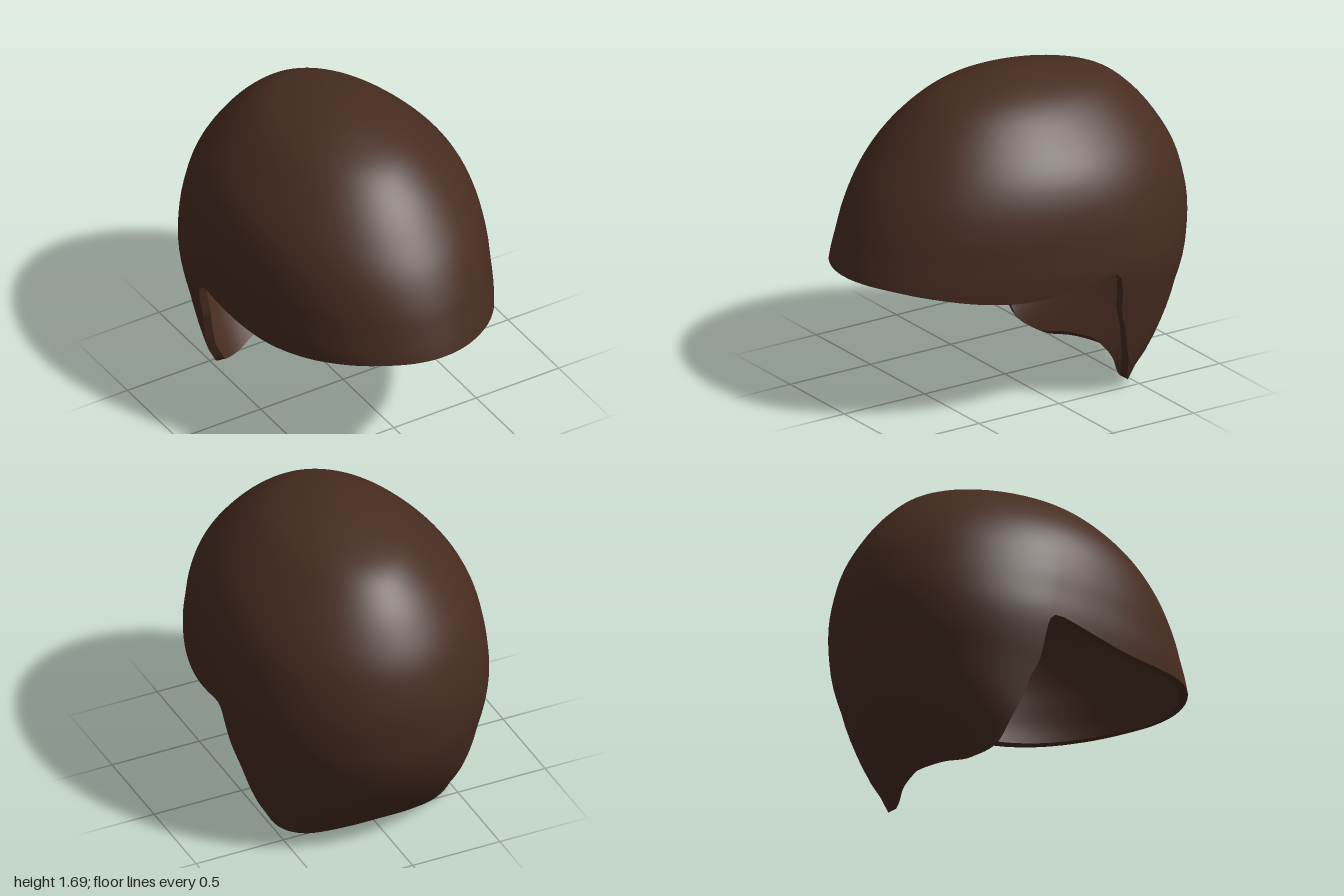
import * as THREE from 'three';

const TOP = 1.695, WALL = 0.045, ROWS = 44, HALF = 80;

// Cross-section at each height: [y, half width, front z, back z, z of widest point]
const LEVELS = [
  [1.695, 0, -0.05, -0.05, -0.05],
  [1.67, 0.17, 0.18, -0.31, -0.05],
  [1.605, 0.33, 0.39, -0.57, -0.06],
  [1.48, 0.485, 0.57, -0.74, -0.07],
  [1.32, 0.62, 0.72, -0.865, -0.09],
  [1.18, 0.685, 0.825, -0.94, -0.12],
  [1.02, 0.718, 0.91, -0.985, -0.15],
  [0.9, 0.727, 0.955, -1.0, -0.18],
  [0.76, 0.731, 1.0, -0.99, -0.2],
  [0.6, 0.708, 1.02, -0.965, -0.2],
  [0.4, 0.66, 1.02, -0.88, -0.2],
  [0.2, 0.61, 1.02, -0.74, -0.2],
  [0.1, 0.575, 1.02, -0.64, -0.2],
  [0, 0.56, 1.02, -0.55, -0.2],
];

// Lower edge: [degrees round from the front, y]
const EDGE = [
  [0, 0.765], [12, 0.763], [23.5, 0.756], [37.7, 0.73], [54.3, 0.692], [65.4, 0.68],
  [75.5, 0.7], [85.2, 0.74], [88.6, 0.753], [91.4, 0.745], [93, 0.7], [94, 0.63],
  [95.5, 0.5], [98.5, 0.4], [103, 0.25], [114, 0.09], [124, 0.038], [145, 0.004],
  [162, 0.025], [180, 0.045],
];

const depth = (y) => Math.sqrt(Math.max(0, TOP - y));
const KEYS = LEVELS.map((l) => depth(l[0]));

// Smooth interpolation of one column of LEVELS; the root of depth keeps the crown round
function level(u, k) {
  let i = 0;
  while (i < KEYS.length - 2 && u > KEYS[i + 1]) i++;
  const slope = (j) => {
    const a = Math.max(0, j - 1), b = Math.min(KEYS.length - 1, j + 1);
    return (LEVELS[b][k] - LEVELS[a][k]) / (KEYS[b] - KEYS[a]);
  };
  const h = KEYS[i + 1] - KEYS[i], t = (u - KEYS[i]) / h, t2 = t * t, t3 = t2 * t;
  return (2 * t3 - 3 * t2 + 1) * LEVELS[i][k] + (t3 - 2 * t2 + t) * h * slope(i)
    + (3 * t2 - 2 * t3) * LEVELS[i + 1][k] + (t3 - t2) * h * slope(i + 1);
}

// Point on the outer surface; sections get squarer towards the nape
function surfacePoint(phi, u, side) {
  const y = TOP - u * u;
  const p = 2 / (2 + 0.5 * THREE.MathUtils.clamp(1 - y / 0.5, 0, 1));
  const c = Math.cos(phi), s = Math.max(0, Math.sin(phi));
  const zc = level(u, 4), reach = level(u, c > 0 ? 2 : 3) - zc;
  return [side * level(u, 1) * s ** p, y, zc + reach * Math.abs(c) ** p];
}

function buildGeometry(positions, index) {
  const g = new THREE.BufferGeometry();
  g.setAttribute('position', new THREE.Float32BufferAttribute(positions, 3));
  g.setIndex(index);
  g.computeVertexNormals();
  return g;
}

export function createModel() {
  const group = new THREE.Group();
  group.name = 'helmet';
  const material = new THREE.MeshStandardMaterial({ color: 0x472c20 });
  const add = (name, geometry) => {
    const mesh = new THREE.Mesh(geometry, material);
    mesh.name = name;
    group.add(mesh);
  };

  // Columns run round the head: left side front to back, then the mirrored right side
  const edge = new THREE.CatmullRomCurve3(
    EDGE.map(([a, y]) => new THREE.Vector3(a / 75, y, 0)), false, 'centripetal');
  edge.arcLengthDivisions = 1000;
  const half = edge.getSpacedPoints(HALF).map((v) => ({
    phi: THREE.MathUtils.degToRad(THREE.MathUtils.clamp(v.x * 75, 0, 180)), u: depth(v.y), side: 1,
  }));
  const columns = [...half, ...half.slice(1, -1).reverse().map((c) => ({ ...c, side: -1 }))];
  const n = columns.length;

  // Outer shell: crown vertex followed by rings down to the edge
  const outer = [0, TOP, LEVELS[0][4]], index = [];
  for (let r = 1; r <= ROWS; r++) {
    for (const c of columns) outer.push(...surfacePoint(c.phi, c.u * r / ROWS, c.side));
  }
  const id = (r, j) => (r === 0 ? 0 : 1 + (r - 1) * n + (j % n));
  for (let r = 0; r < ROWS; r++) {
    for (let j = 0; j < n; j++) {
      const a = id(r, j), b = id(r, j + 1), c = id(r + 1, j), d = id(r + 1, j + 1);
      index.push(a, c, d);
      if (r > 0) index.push(a, d, b);
    }
  }
  const shell = buildGeometry(outer, index);
  add('outerShell', shell);

  // Inner lining: outer shell moved in along its normals and turned inside out
  const normals = shell.attributes.normal.array;
  const inner = outer.map((v, i) => v - normals[i] * WALL);
  const flipped = [];
  for (let i = 0; i < index.length; i += 3) flipped.push(index[i], index[i + 2], index[i + 1]);
  add('innerLining', buildGeometry(inner, flipped));

  // Rim strip joining the two along the lower edge
  const rim = [], rimIndex = [];
  for (let j = 0; j < n; j++) {
    const k = id(ROWS, j) * 3, a = 2 * j, b = 2 * ((j + 1) % n);
    rim.push(...outer.slice(k, k + 3), ...inner.slice(k, k + 3));
    rimIndex.push(a, a + 1, b + 1, a, b + 1, b);
  }
  add('rim', buildGeometry(rim, rimIndex));
  return group;
}
